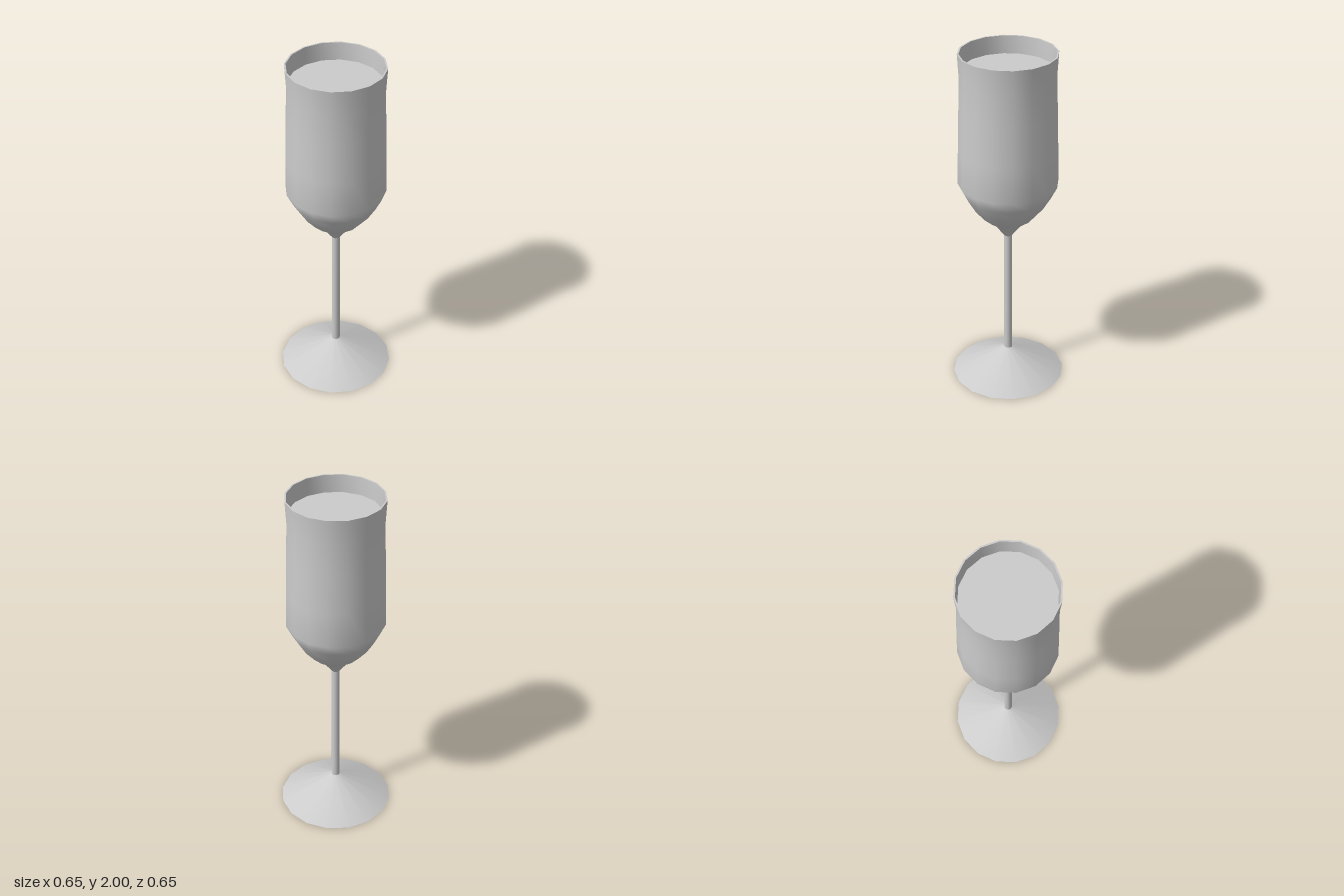
import * as THREE from 'three';

const SIDES = 16;
const material = new THREE.MeshStandardMaterial({ color: 0xcccccc });

// Turned part from [radius, height] points, listed with the solid on their left
function turned(name, profile) {
  const points = profile.map(([r, y]) => new THREE.Vector2(r, y));
  const mesh = new THREE.Mesh(new THREE.LatheGeometry(points, SIDES), material);
  mesh.name = name;
  return mesh;
}

export function createModel() {
  const group = new THREE.Group();
  group.name = 'champagneFlute';

  // Foot: flat underside and conical top
  group.add(turned('footUnderside', [[0, 0], [0.325, 0]]));
  group.add(turned('footTop', [[0.325, 0], [0.024, 0.155]]));

  // Slim straight stem
  group.add(turned('stem', [[0.024, 0.155], [0.023, 0.91]]));

  // Bowl: flared bottom, slightly tapering wall, lip opening outwards
  group.add(turned('bowlOutside', [
    [0.023, 0.91], [0.08, 0.985], [0.145, 1.035], [0.2, 1.1], [0.245, 1.175],
    [0.28, 1.245], [0.275, 1.45], [0.268, 1.68], [0.262, 1.86], [0.27, 2],
  ]));
  group.add(turned('rim', [[0.27, 2], [0.261, 2]]));
  group.add(turned('bowlInside', [
    [0.261, 2], [0.254, 1.86], [0.26, 1.68], [0.267, 1.45], [0.271, 1.25],
    [0.236, 1.18], [0.191, 1.11], [0.136, 1.045], [0.07, 1], [0, 0.97],
  ]));

  // Drink: body just inside the wall, with a flat surface
  group.add(turned('drinkBody', [
    [0, 0.98], [0.066, 1.01], [0.13, 1.05], [0.185, 1.115], [0.23, 1.185],
    [0.266, 1.255], [0.262, 1.45], [0.256, 1.68], [0.251, 1.86], [0.253, 1.9],
  ]));
  group.add(turned('drinkSurface', [[0.254, 1.9], [0, 1.9]]));

  return group;
}
